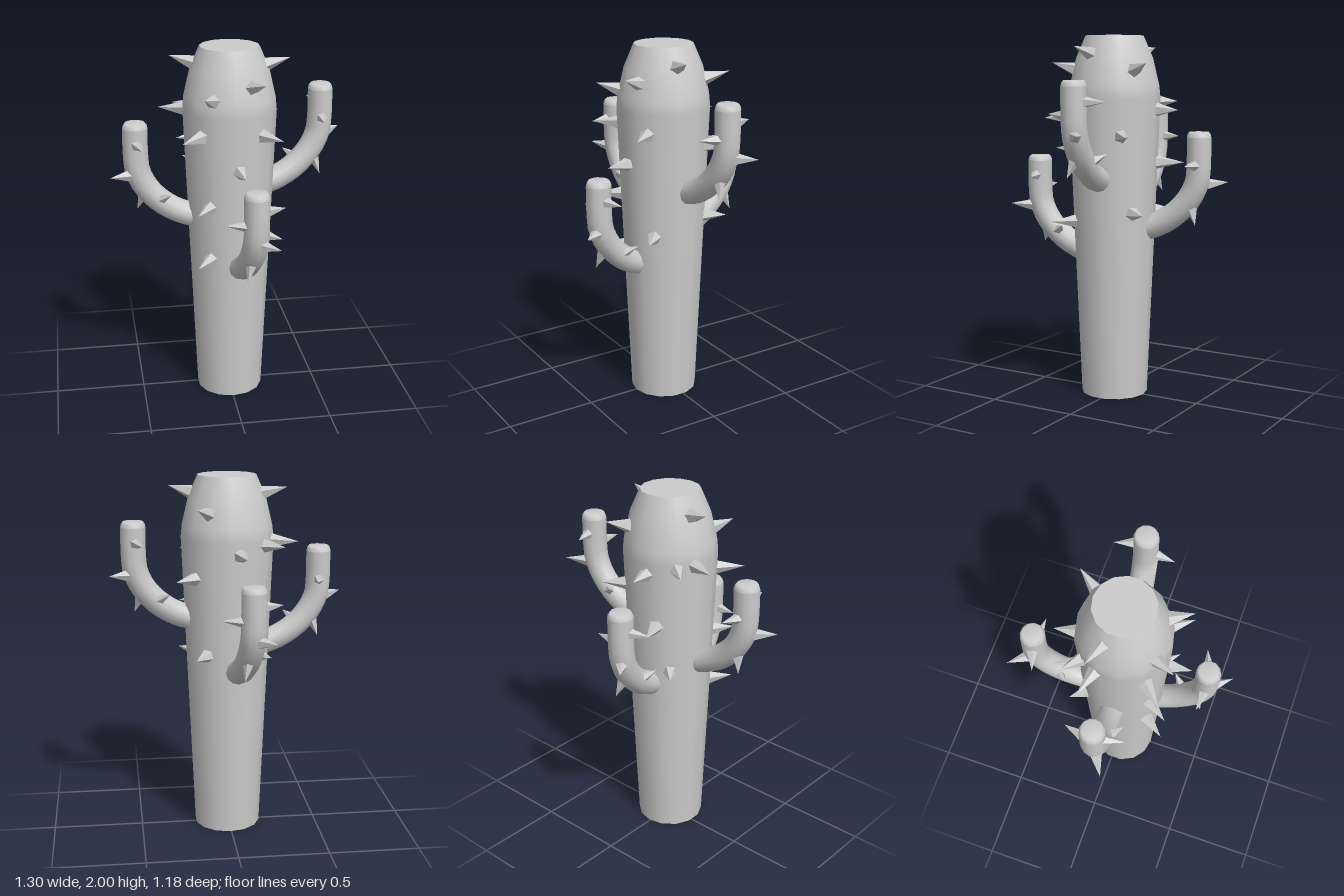
import * as THREE from 'three';

const CENTER_X = 0.005, CENTER_Z = 0.018;
const V = (x, y, z) => new THREE.Vector3(x, y, z);
const smooth = new THREE.MeshStandardMaterial({ color: 0xcccccc });
const faceted = new THREE.MeshStandardMaterial({ color: 0xcccccc, flatShading: true });

// Trunk outline: radius, height
const trunkProfile = [[0.185, 0], [0.221, 0.85], [0.254, 1.66], [0.247, 1.73], [0.212, 1.88], [0.16, 2]];

function trunkRadius(y) {
  const i = Math.max(1, trunkProfile.findIndex((p) => p[1] >= y));
  const [r0, y0] = trunkProfile[i - 1], [r1, y1] = trunkProfile[i];
  return r0 + (r1 - r0) * (y - y0) / (y1 - y0);
}

function lathe(profile, sides) {
  return new THREE.LatheGeometry(profile.map(([r, y]) => new THREE.Vector2(r, y)), sides);
}

function add(parent, name, geometry, material) {
  const mesh = new THREE.Mesh(geometry, material);
  mesh.name = name;
  parent.add(mesh);
  return mesh;
}

// Five-sided thorn running from base to tip
function addSpike(parent, base, tip, radius) {
  const dir = tip.clone().sub(base);
  const length = dir.length();
  const geometry = new THREE.ConeGeometry(radius, length, 5).translate(0, length / 2, 0);
  const spike = add(parent, 'spike', geometry, faceted);
  spike.position.copy(base);
  spike.quaternion.setFromUnitVectors(V(0, 1, 0), dir.normalize());
}

// Arm path: outward distance, height below the arm's top
const armPath = [[0.15, -0.55], [0.25, -0.525], [0.36, -0.465], [0.45, -0.375], [0.5, -0.275], [0.51, -0.18], [0.51, -0.03]];

// Thorns on every arm: base, then tip (outward, height, sideways)
const armSpikes = [
  [[0.55, -0.285, 0.025], [0.655, -0.275, 0.085]],
  [[0.51, -0.11, 0.045], [0.488, -0.11, 0.168]],
  [[0.505, -0.18, -0.045], [0.477, -0.175, -0.165]],
  [[0.475, -0.41, -0.015], [0.505, -0.505, -0.045]],
  [[0.385, -0.425, 0.04], [0.332, -0.385, 0.105]],
];

function createArm(name, dx, dz, top) {
  const arm = new THREE.Group();
  arm.name = name;
  const shift = Math.hypot(dx, dz) - 0.51;
  const curve = new THREE.CatmullRomCurve3(armPath.map(([r, y]) => V(r, y, 0)));
  add(arm, 'armStem', new THREE.TubeGeometry(curve, 16, 0.068, 12), smooth);
  const tip = add(arm, 'armTip', lathe([[0.068, -0.03], [0.064, -0.014], [0.054, 0], [0, 0]], 12), smooth);
  tip.position.x = 0.51;
  for (const [b, t] of armSpikes) {
    addSpike(arm, V(b[0], b[1], -b[2]), V(t[0], t[1], -t[2]), 0.034);
  }
  const angle = Math.atan2(-dz, dx);
  arm.rotation.y = angle;
  arm.position.set(CENTER_X + Math.cos(angle) * shift, top, CENTER_Z - Math.sin(angle) * shift);
  return arm;
}

// Thorn tips on the trunk
const trunkSpikes = [
  [0.32, 1.94, 0.08], [-0.31, 1.94, -0.07], [-0.17, 1.79, 0.33], [0.145, 1.855, 0.335],
  [0.19, 1.85, -0.28], [-0.37, 1.65, -0.1], [-0.28, 1.64, -0.227], [-0.06, 1.6, -0.343],
  [-0.28, 1.555, 0.3], [0.243, 1.555, 0.325], [0.3, 1.465, -0.22], [0.037, 1.375, 0.385],
  [-0.145, 1.31, -0.34], [-0.205, 1.165, 0.32], [0.2, 1.045, -0.27], [-0.21, 1.04, -0.23],
  [0.26, 0.985, 0.27], [-0.205, 0.86, 0.31],
];

export function createModel() {
  const cactus = new THREE.Group();
  cactus.name = 'cactus';

  // Trunk with flat ends
  const trunk = new THREE.Group();
  trunk.name = 'trunk';
  trunk.position.set(CENTER_X, 0, CENTER_Z);
  add(trunk, 'trunkBody', lathe(trunkProfile, 14), smooth);
  add(trunk, 'trunkTop', lathe([[0.16, 2], [0, 2]], 14), smooth);
  add(trunk, 'trunkBase', lathe([[0, 0], [0.185, 0]], 14), smooth);
  cactus.add(trunk);

  // Thorns around the trunk, pointing outward and a little up near the top
  for (const [x, y, z] of trunkSpikes) {
    const dir = V(x - CENTER_X, 0, z - CENTER_Z).normalize();
    const baseY = y > 1.75 ? y - 0.04 : y;
    const base = dir.multiplyScalar(trunkRadius(baseY) - 0.02).add(V(CENTER_X, baseY, CENTER_Z));
    addSpike(cactus, base, V(x, y, z), 0.043);
  }

  // Four upturned arms
  cactus.add(
    createArm('leftArm', 0.51, -0.06, 1.765),
    createArm('rightArm', -0.51, 0.01, 1.605),
    createArm('frontArm', 0.075, 0.447, 1.335),
    createArm('backArm', -0.085, -0.478, 1.485),
  );
  return cactus;
}
